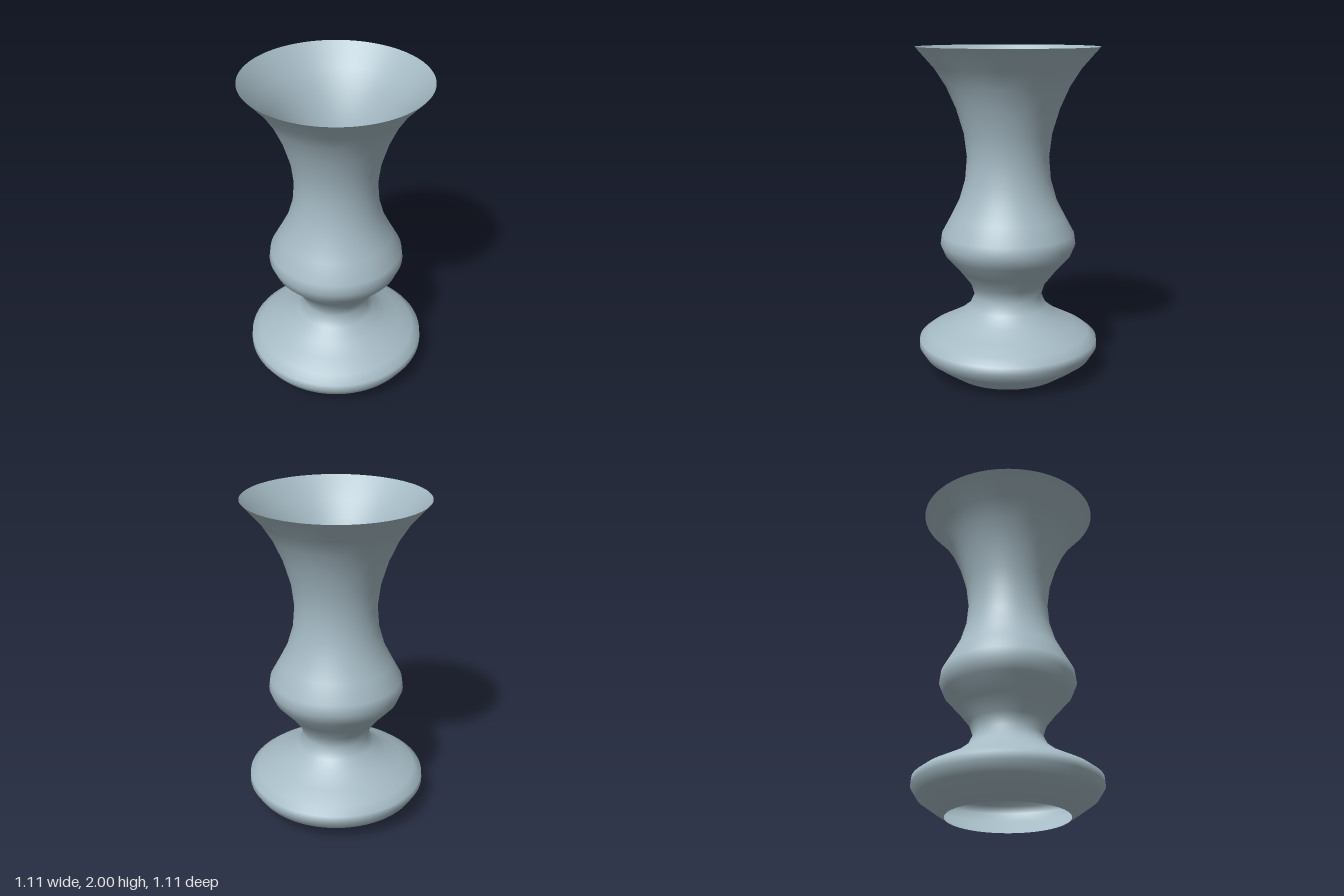
import * as THREE from 'three';

// Vase wall from foot to rim: [radius, height]
const PROFILE = [
  [0.36, 0], [0.44, 0.054], [0.52, 0.112], [0.556, 0.17], [0.552, 0.215], [0.5, 0.255],
  [0.41, 0.302], [0.32, 0.35], [0.24, 0.415], [0.207, 0.485], [0.23, 0.56],
  [0.3, 0.65], [0.385, 0.745], [0.414, 0.815], [0.405, 0.88],
  [0.345, 0.99], [0.297, 1.085], [0.26, 1.21], [0.248, 1.35],
  [0.265, 1.49], [0.31, 1.64], [0.368, 1.77], [0.435, 1.875], [0.545, 2],
];

export function createModel() {
  const model = new THREE.Group();
  model.name = 'vase';

  const glaze = new THREE.MeshStandardMaterial({ color: 0xa5bac4, side: THREE.DoubleSide });
  glaze.name = 'pale blue grey';

  // Thin turned shell, open at the rim and the foot
  const points = PROFILE.map(([r, y]) => new THREE.Vector2(r, y));
  const body = new THREE.Mesh(new THREE.LatheGeometry(points, 96), glaze);
  body.name = 'vaseBody';
  model.add(body);

  return model;
}
